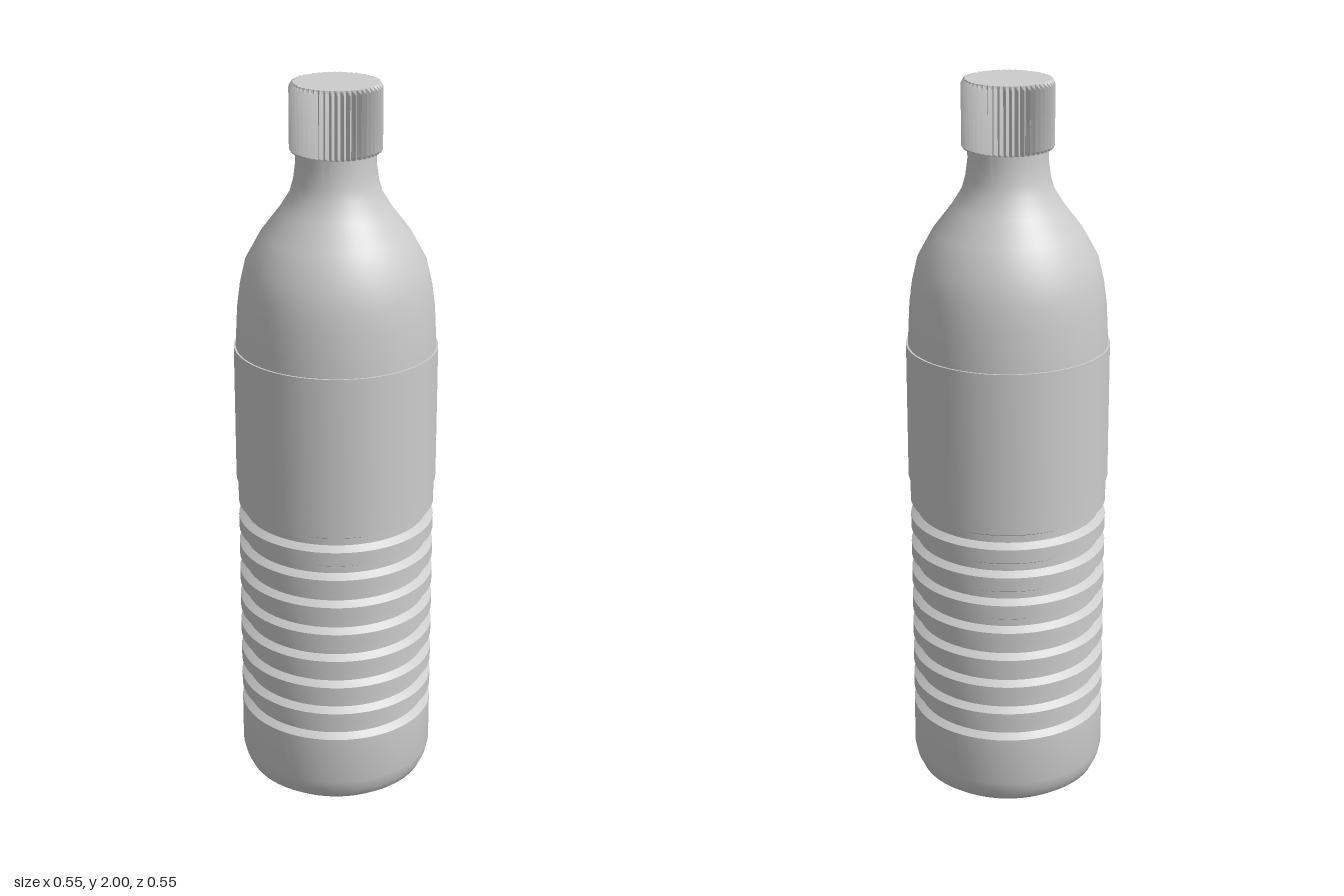
import * as THREE from 'three';
import { toCreasedNormals } from 'three/addons/utils/BufferGeometryUtils.js';

const lathe = (pts, segments) =>
  new THREE.LatheGeometry(pts.map(([r, y]) => new THREE.Vector2(r, y)), segments);

export function createModel() {
  const bottle = new THREE.Group();
  bottle.name = 'bottle';
  const grey = new THREE.MeshStandardMaterial({ name: 'light grey', color: 0xcccccc });

  const add = (name, geometry, crease) => {
    const mesh = new THREE.Mesh(toCreasedNormals(geometry, crease), grey);
    mesh.name = name;
    bottle.add(mesh);
  };

  // Body: base, eight evenly spaced grooves, shoulder and neck
  const R = 0.27, grooveR = 0.251;
  const profile = [[0, 0.012], [0.2, 0.006], [0.225, 0], [0.25, 0.018], [0.263, 0.045], [R, 0.075]];
  for (let i = 0; i < 8; i++) {
    const y = 0.238 + i * 0.0827;
    profile.push([R, y - 0.024], [grooveR, y - 0.010], [grooveR, y + 0.010], [R, y + 0.020]);
  }
  profile.push(
    [R, 0.91], [R, 1.29], [0.264, 1.40], [0.256, 1.46], [0.241, 1.525], [0.2, 1.6],
    [0.15, 1.665], [0.122, 1.71], [0.112, 1.745], [0.106, 1.79], [0.106, 1.83]
  );
  add('body', lathe(profile, 64), 0.5);

  // Label sleeve wrapped around the middle
  add('label', lathe([[R - 0.002, 0.91], [0.275, 0.91], [0.275, 1.29], [R - 0.002, 1.29]], 64), 0.5);

  // Screw cap: every second column is pulled in to make the grip teeth
  const cap = lathe([[0, 1.82], [0.108, 1.82], [0.117, 1.82], [0.122, 1.827],
    [0.122, 1.988], [0.115, 2], [0.108, 2], [0, 2]], 96);
  const pos = cap.attributes.position;
  const columnSize = 8, valleyR = 0.109;
  for (let i = 0; i < pos.count; i++) {
    const r = Math.hypot(pos.getX(i), pos.getZ(i));
    if (Math.floor(i / columnSize) % 2 && r > valleyR) {
      pos.setX(i, pos.getX(i) * valleyR / r);
      pos.setZ(i, pos.getZ(i) * valleyR / r);
    }
  }
  add('cap', cap, 0.3);

  return bottle;
}
